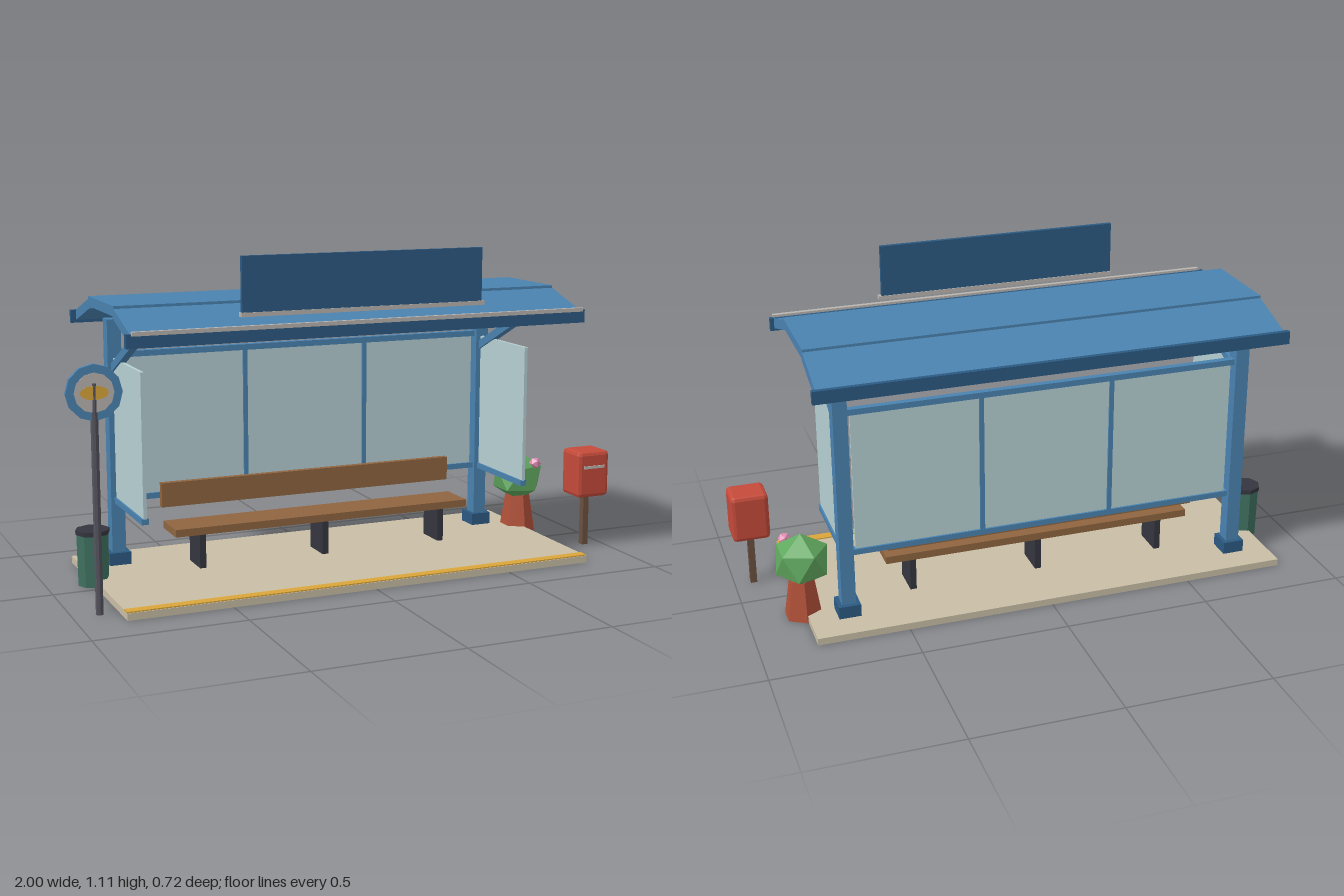
import * as THREE from 'three';
import { RoundedBoxGeometry } from 'three/addons/geometries/RoundedBoxGeometry.js';

const COLORS = {
  blue: 0x4a82b0, navy: 0x2c5a82, glass: 0xb5cfd3, wood: 0x8f6540, dark: 0x35353f,
  pave: 0xc8bda5, yellow: 0xd9a53a, green: 0x3f7060, leaf: 0x60a85e, red: 0xc44a3a,
  clay: 0xb05038, pink: 0xdd8db2, post: 0x6b5040, grey: 0xb8b4b0, pole: 0x55535e,
};
const CX = -0.022; // middle of the shelter

export function createModel() {
  const root = new THREE.Group();
  const mats = {};
  for (const k in COLORS) {
    mats[k] = new THREE.MeshStandardMaterial({ color: COLORS[k], flatShading: true });
  }

  const add = (name, geo, color, x, y, z, parent = root) => {
    const m = new THREE.Mesh(geo, mats[color]);
    m.name = name;
    m.position.set(x, y, z);
    parent.add(m);
    return m;
  };
  // box from its extents along each axis
  const box = (name, color, [x0, x1], [y0, y1], [z0, z1], parent) =>
    add(name, new THREE.BoxGeometry(x1 - x0, y1 - y0, z1 - z0), color,
      (x0 + x1) / 2, (y0 + y1) / 2, (z0 + z1) / 2, parent);
  // sloping box whose centre line runs between two [z, y] points
  const beam = (name, color, x, width, thick, [z0, y0], [z1, y1], parent) => {
    const len = Math.hypot(z1 - z0, y1 - y0);
    const m = add(name, new THREE.BoxGeometry(width, thick, len), color, x, (y0 + y1) / 2, (z0 + z1) / 2, parent);
    m.rotation.x = -Math.atan2(y1 - y0, z1 - z0);
    return m;
  };
  const around = (c, w) => [c - w / 2, c + w / 2];
  const group = (name) => {
    const g = new THREE.Group();
    g.name = name;
    root.add(g);
    return g;
  };

  // pavement and kerb line
  box('pavement', 'pave', [-0.85, 0.81], [0, 0.024], [-0.35, 0.36]);
  box('kerbLine', 'yellow', [-0.85, 0.81], [0.02, 0.028], [0.322, 0.357]);

  // posts, footings, roof struts and side panels
  const frame = group('frame');
  for (const s of [-1, 1]) {
    const x = CX + s * 0.7;
    box('post', 'blue', around(x, 0.048), [0.024, 0.872], [-0.237, -0.187], frame);
    box('footing', 'navy', around(x, 0.075), [0.024, 0.067], [-0.252, -0.172], frame);
    beam('roofStrut', 'blue', x, 0.026, 0.028, [-0.2, 0.702], [0.154, 0.87], frame);
    box('sideGlass', 'glass', around(x, 0.012), [0.258, 0.74], [-0.19, 0.138], frame);
    box('sideRail', 'blue', around(x, 0.024), [0.24, 0.26], [-0.19, 0.138], frame);
  }

  // rear wall: rails, glass and mullions
  const wall = group('rearWall');
  for (const y of [0.25, 0.749]) {
    box('rearRail', 'blue', around(CX, 1.36), around(y, 0.02), around(-0.212, 0.024), wall);
  }
  box('rearGlass', 'glass', around(CX, 1.33), [0.258, 0.742], around(-0.212, 0.01), wall);
  for (const s of [-1, 1]) {
    box('mullion', 'blue', around(CX + s * 0.228, 0.016), [0.25, 0.75], around(-0.212, 0.022), wall);
  }

  // three-panel roof with fascias and gutter
  const roof = group('roof');
  const rx = -0.02;
  box('roofTop', 'blue', around(rx, 1.585), [0.923, 0.956], [-0.164, 0.146], roof);
  beam('roofFront', 'blue', rx, 1.585, 0.033, [0.139, 0.932], [0.33, 0.871], roof);
  beam('roofBack', 'blue', rx, 1.585, 0.033, [-0.157, 0.932], [-0.348, 0.871], roof);
  box('frontFascia', 'navy', around(CX, 1.615), [0.847, 0.891], [0.323, 0.341], roof);
  box('backFascia', 'navy', around(CX, 1.615), [0.847, 0.891], [-0.356, -0.338], roof);
  box('gutter', 'grey', around(rx, 1.585), [0.886, 0.899], [0.335, 0.351], roof);

  // name board above the roof edge
  box('nameBoard', 'navy', around(-0.024, 0.845), [0.935, 1.114], [0.302, 0.317]);
  box('nameBoardTrim', 'grey', around(-0.021, 0.86), [0.923, 0.937], [0.299, 0.32]);

  // bench
  const bench = group('bench');
  box('benchSeat', 'wood', around(-0.024, 1.1), [0.145, 0.171], [-0.15, -0.01], bench);
  box('benchBack', 'wood', around(-0.024, 1.1), [0.214, 0.299], [-0.185, -0.163], bench);
  for (const i of [-1, 0, 1]) {
    box('benchLeg', 'dark', around(CX + i * 0.452, 0.022), [0.024, 0.146], [-0.136, -0.024], bench);
  }

  // stop sign: pole, rim, face plates and emblem bars on both sides
  const sign = group('stopSign');
  const sx = -0.912, sy = 0.708, sz = 0.26;
  add('signPole', new THREE.CylinderGeometry(0.0125, 0.0125, 0.737, 8), 'pole', sx, 0.3685, sz, sign);
  const disc = (name, color, r, t) => {
    const m = add(name, new THREE.CylinderGeometry(r, r, t, 12).rotateX(Math.PI / 2), color, sx, sy, sz, sign);
    m.rotation.y = -0.06;
    return m;
  };
  disc('signRim', 'blue', 0.089, 0.017);
  disc('signFace', 'grey', 0.063, 0.02);
  disc('signEmblem', 'yellow', 0.045, 0.022).scale.y = 0.5;

  // litter bin
  const bin = group('litterBin');
  add('binBody', new THREE.CylinderGeometry(0.055, 0.052, 0.178, 8), 'green', -0.845, 0.089, -0.068, bin);
  add('binLid', new THREE.CylinderGeometry(0.058, 0.058, 0.015, 8), 'dark', -0.845, 0.183, -0.068, bin);

  // bush in a flared pot, with one blossom
  const plant = group('plant');
  add('pot', new THREE.CylinderGeometry(0.044, 0.066, 0.14, 6), 'clay', 0.813, 0.07, -0.137, plant);
  const upright = Math.atan(2 / (1 + Math.sqrt(5)));
  add('bush', new THREE.IcosahedronGeometry(0.097, 0).rotateZ(upright), 'leaf', 0.81, 0.208, -0.137, plant)
    .scale.set(1.02, 0.98, 1.05);
  add('blossom', new THREE.IcosahedronGeometry(0.023, 0), 'pink', 0.853, 0.263, -0.08, plant);

  // letter box on a post
  const letterBox = group('letterBox');
  box('letterBoxPost', 'post', around(0.934, 0.022), [0, 0.2], around(0.14, 0.024), letterBox);
  add('letterBoxBody', new RoundedBoxGeometry(0.128, 0.168, 0.115, 1, 0.014), 'red', 0.935, 0.27, 0.139, letterBox);
  box('letterSlot', 'grey', around(0.935, 0.085), [0.293, 0.303], [0.19, 0.2], letterBox);

  return root;
}
